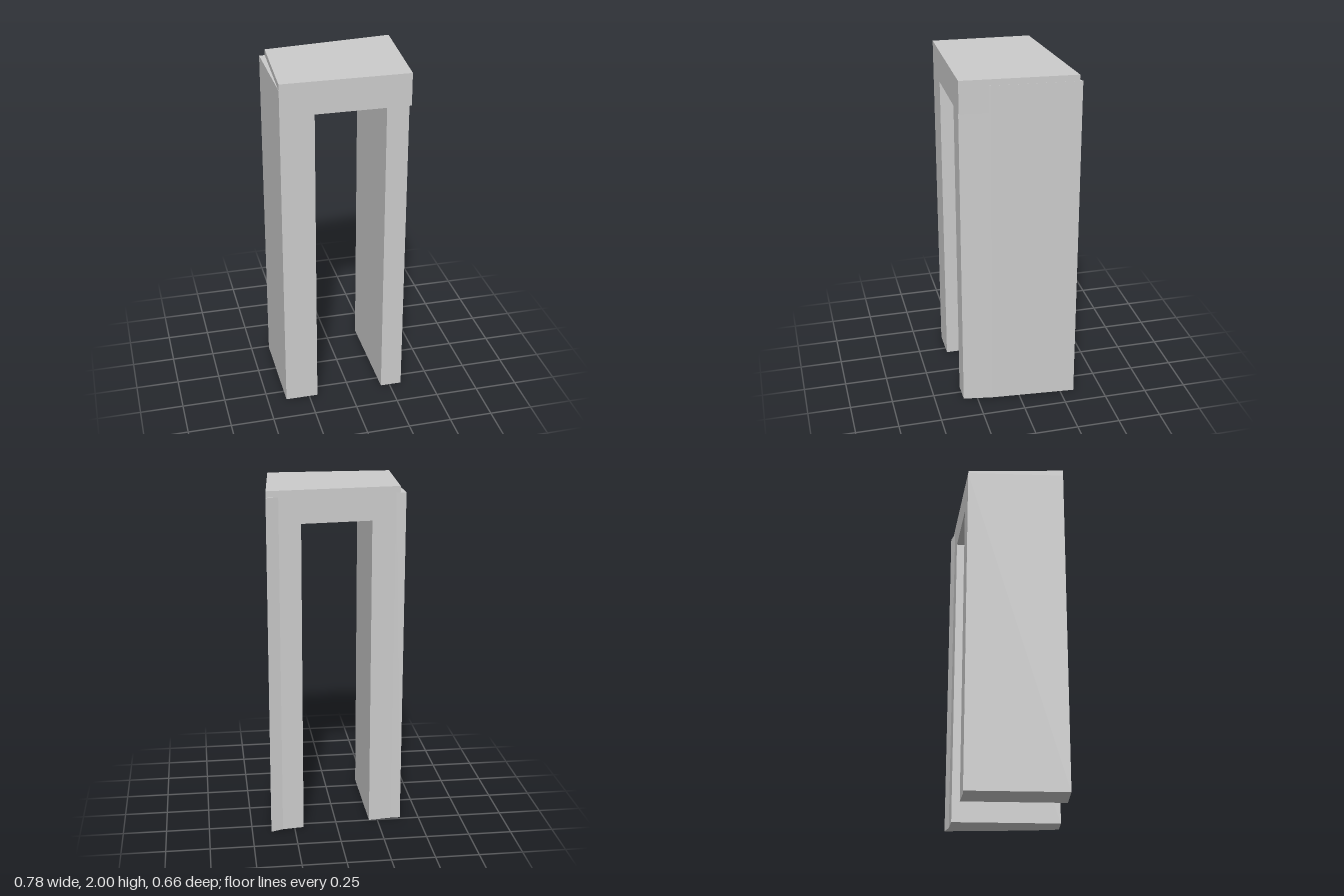
import * as THREE from 'three';

const material = new THREE.MeshStandardMaterial({ color: 0xcccccc, flatShading: true });

// Upright prism over a floor plan of [x, z] corners
function prism(name, plan, bottom, top) {
  const shape = new THREE.Shape(plan.map(([x, z]) => new THREE.Vector2(x, -z)));
  const geometry = new THREE.ExtrudeGeometry(shape, { depth: top - bottom, bevelEnabled: false });
  geometry.rotateX(-Math.PI / 2).translate(0, bottom, 0);
  const mesh = new THREE.Mesh(geometry, material);
  mesh.name = name;
  return mesh;
}

export function createModel() {
  const group = new THREE.Group();
  group.name = 'archway';

  const front = 0.331;
  const slabBottom = 1.815;
  const legTop = 1.965;
  // Slanted back edge shared by the slab and the legs
  const backZ = (x) => -0.232 - 0.1107 * (x + 0.36);

  // Skewed top slab spanning both legs
  group.add(prism('topSlab', [
    [-0.39, front], [0.335, front], [0.388, backZ(0.388)], [-0.358, backZ(-0.358)],
  ], slabBottom, 2));

  // Leg on the -x side, with a square outer back corner
  group.add(prism('rightLeg', [
    [-0.39, front], [-0.2, front], [-0.2, backZ(-0.2)], [-0.335, -0.235], [-0.39, -0.235],
  ], 0, legTop));

  // Leg on the +x side, with a flared outer back corner
  group.add(prism('leftLeg', [
    [0.197, front], [0.322, front], [0.35, 0.16], [0.39, -0.332], [0.32, backZ(0.32)], [0.197, backZ(0.197)],
  ], 0, legTop));

  return group;
}
